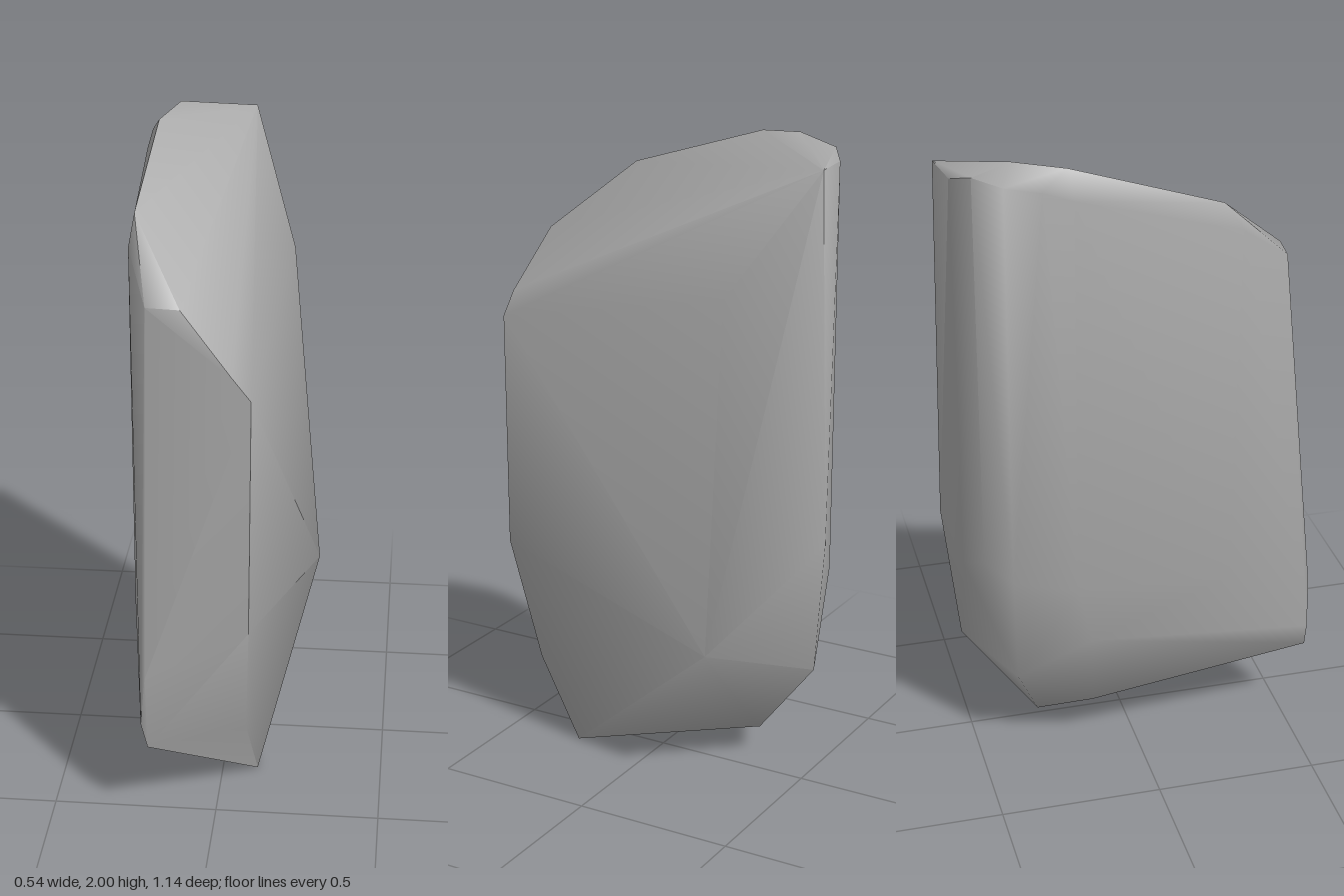
import * as THREE from 'three';
import { ConvexGeometry } from 'three/addons/geometries/ConvexGeometry.js';
import { toCreasedNormals } from 'three/addons/utils/BufferGeometryUtils.js';

// Corners of the chipped stone slab, grouped by region.
const corners = {
  rightRidge: [[0.27, 0.475, -0.3], [0.175, 1.56, -0.3]],
  frontEdge: [[0.105, 1.39, 0.515], [0.1, 0.64, 0.515], [0.085, 0.25, 0.41]],
  frontBevel: [[0.05, 1.46, 0.513], [-0.1, 1.64, 0.467], [-0.2, 1.64, 0.457]],
  frontFoot: [[-0.2, 0.26, 0.566], [-0.22, 0.34, 0.565], [-0.205, 0.5, 0.568]],
  crown: [[0.035, 1.94, -0.545], [-0.185, 2, -0.36], [-0.235, 1.985, -0.21], [-0.253, 1.845, 0.243]],
  backTop: [[-0.115, 1.94, -0.525], [-0.19, 1.965, -0.475], [-0.24, 1.945, -0.395], [-0.265, 1.93, -0.29]],
  leftSide: [[-0.27, 1.9, -0.2], [-0.265, 1.76, 0.3], [-0.27, 0.62, -0.2], [-0.268, 0.6, 0.28], [-0.25, 0.42, -0.15]],
  backBottom: [[0.015, 0.8, -0.57], [-0.02, 0.37, -0.525], [-0.115, 0.68, -0.525], [-0.19, 0.72, -0.475],
    [-0.24, 0.66, -0.395], [-0.2, 0.29, -0.38]],
  base: [[0.11, 0, 0.255], [-0.1, 0.09, -0.3], [-0.18, 0.15, -0.135]],
};

export function createModel() {
  const stone = new THREE.MeshStandardMaterial({ color: 0xa8a8a8 });
  stone.name = 'stone grey';

  // Convex block: broad edges stay sharp, small chips blend smoothly.
  const points = Object.values(corners).flat().map((p) => new THREE.Vector3(...p));
  const geometry = toCreasedNormals(new ConvexGeometry(points), THREE.MathUtils.degToRad(58));

  const rock = new THREE.Mesh(geometry, stone);
  rock.name = 'rock';

  const group = new THREE.Group();
  group.name = 'standingStone';
  group.add(rock);
  return group;
}
